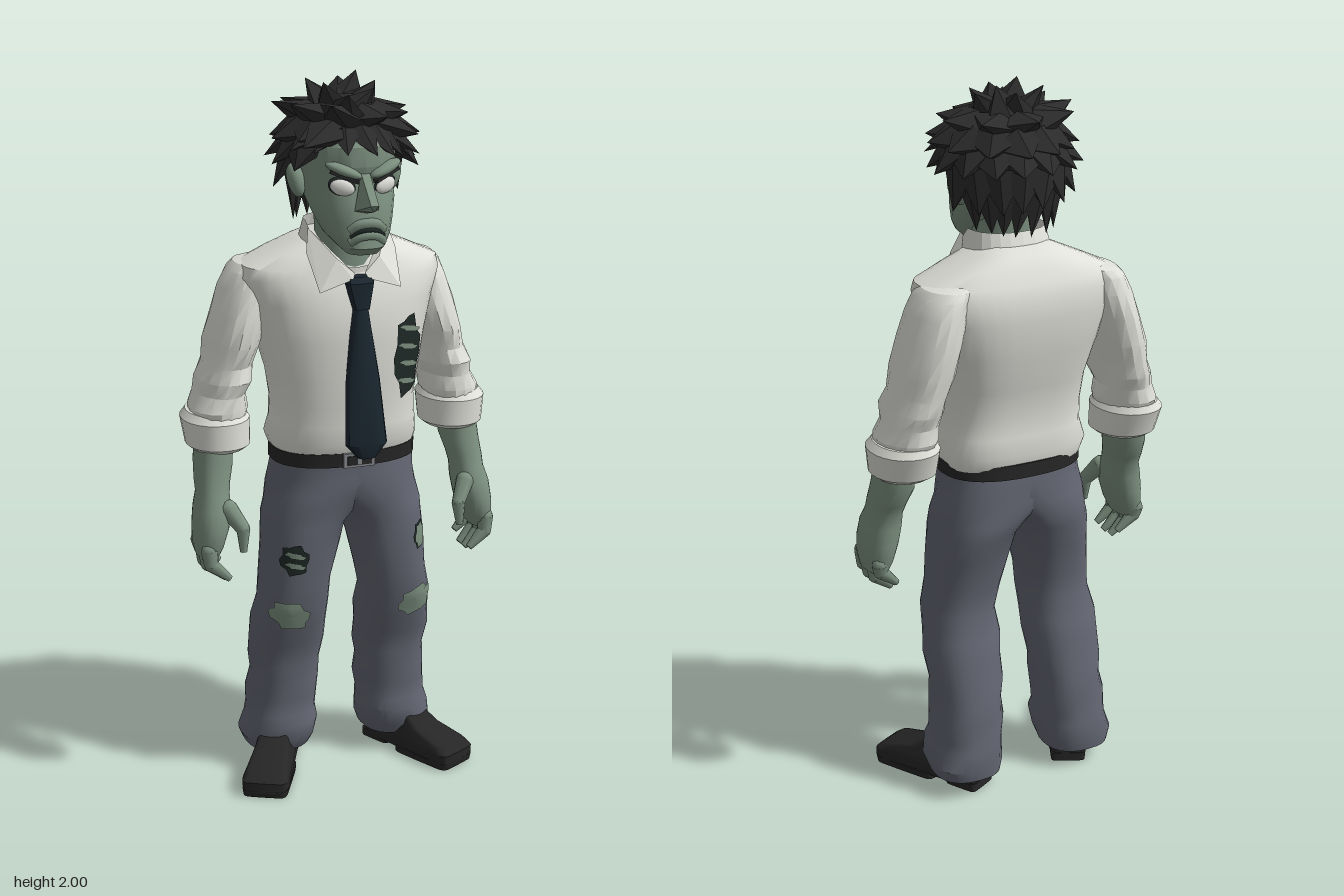
import * as THREE from 'three';
import { toCreasedNormals } from 'three/addons/utils/BufferGeometryUtils.js';
import { ConvexGeometry } from 'three/addons/geometries/ConvexGeometry.js';

const mat = (name, color, side = THREE.FrontSide) => {
  const m = new THREE.MeshStandardMaterial({ color, side });
  m.name = name;
  return m;
};
const skin = mat('green skin', 0x7c907f);
const shirt = mat('off-white shirt', 0xe0e0da, THREE.DoubleSide);
const denim = mat('grey blue trousers', 0x636672);
const hairMat = mat('black hair', 0x2b2b2b);
const leather = mat('black leather', 0x262626);
const tieMat = mat('navy tie', 0x1a262f);
const eyeMat = mat('eye white', 0xdededa);
const dark = mat('dark tear', 0x1f2a27);
const metal = mat('buckle metal', 0x85868a);

const V = (x, y, z) => new THREE.Vector3(x, y, z);

// Skin over level rings [y, xMin, xMax, zBack, zFront], listed upwards
function loft(rings, { pow = 2.4, powBack = pow, n = 24, wrinkle = 0, caps = true, crease = 0.7 } = {}) {
  const pos = [], idx = [];
  for (const [y, x0, x1, z0, z1] of rings) {
    for (let j = 0; j < n; j++) {
      const a = (j / n) * Math.PI * 2;
      const bend = v => Math.sign(v) * Math.abs(v) ** (2 / (j > n / 2 ? powBack : pow));
      const k = 0.5 * (1 + wrinkle * Math.sin(3 * a + y * 47));
      pos.push((x0 + x1) / 2 + (x1 - x0) * k * bend(Math.cos(a)), y, (z0 + z1) / 2 + (z1 - z0) * k * bend(Math.sin(a)));
    }
  }
  for (let i = 0; i < rings.length - 1; i++) for (let j = 0; j < n; j++) {
    const a = i * n + j, b = i * n + (j + 1) % n;
    idx.push(a, a + n, b, b, a + n, b + n);
  }
  if (caps) [0, rings.length - 1].forEach((r, top) => {
    const [y, x0, x1, z0, z1] = rings[r], c = pos.length / 3;
    pos.push((x0 + x1) / 2, y, (z0 + z1) / 2);
    for (let j = 0; j < n; j++) {
      const a = r * n + j, b = r * n + (j + 1) % n;
      top ? idx.push(c, b, a) : idx.push(c, a, b);
    }
  });
  const g = new THREE.BufferGeometry();
  g.setAttribute('position', new THREE.Float32BufferAttribute(pos, 3));
  g.setIndex(idx);
  return toCreasedNormals(g, crease);
}
const flip = (rings, s) => s > 0 ? rings : rings.map(([y, a, b, ...z]) => [y, -b, -a, ...z]);
const wide = rings => rings.map(([y, w, ...z]) => [y, -w, w, ...z]);

// Front depth of a loft at (x, y)
function frontZ(rings, x, y, pow = 2.4) {
  let i = 0;
  while (i < rings.length - 2 && rings[i + 1][0] < y) i++;
  const t = (y - rings[i][0]) / (rings[i + 1][0] - rings[i][0]);
  const [, x0, x1, z0, z1] = rings[i].map((v, k) => v + (rings[i + 1][k] - v) * t);
  const u = Math.min(0.98, Math.abs(x - (x0 + x1) / 2) / ((x1 - x0) / 2));
  return (z0 + z1) / 2 + (z1 - z0) / 2 * (1 - u ** pow) ** (1 / pow);
}

// Jagged thin patch hugging the front of a loft
function patch(rings, cx, cy, rx, ry, lift, slant = 0) {
  const g = new THREE.RingGeometry(0.01, 1, 16, 3), p = g.attributes.position;
  for (let i = 0; i < p.count; i++) {
    const k = 1 + 0.13 * Math.sin((i % 17 % 16) * 2.4);
    const x = cx + p.getX(i) * rx * k, y = cy + p.getY(i) * ry * k + slant * p.getX(i) * rx;
    p.setXYZ(i, x, y, frontZ(rings, x, y) + lift);
  }
  g.computeVertexNormals();
  return g;
}

const TORSO = wide([[0.97, 0.2, -0.17, 0.105], [1.01, 0.212, -0.182, 0.122], [1.06, 0.203, -0.172, 0.122],
  [1.12, 0.2, -0.17, 0.125], [1.2, 0.212, -0.185, 0.13], [1.3, 0.235, -0.212, 0.133], [1.4, 0.262, -0.226, 0.124],
  [1.465, 0.284, -0.22, 0.1], [1.495, 0.278, -0.207, 0.085], [1.53, 0.2, -0.19, 0.07], [1.56, 0.13, -0.165, 0.045],
  [1.58, 0.085, -0.13, 0.0]]);
// Each leg widens into the full hips at its top
const LEG = [[0.055, 0.085, 0.275, -0.204, 0.0], [0.09, 0.074, 0.288, -0.21, 0.022], [0.14, 0.07, 0.276, -0.203, 0.03],
  [0.17, 0.074, 0.268, -0.2, 0.02], [0.22, 0.066, 0.268, -0.196, 0.016], [0.28, 0.068, 0.258, -0.19, 0.03],
  [0.33, 0.06, 0.262, -0.178, 0.022], [0.4, 0.056, 0.266, -0.166, 0.046], [0.46, 0.052, 0.262, -0.152, 0.064],
  [0.53, 0.055, 0.252, -0.13, 0.085], [0.6, 0.045, 0.242, -0.136, 0.09], [0.7, 0.02, 0.234, -0.156, 0.098],
  [0.77, 0.0, 0.228, -0.174, 0.1], [0.81, -0.04, 0.222, -0.179, 0.102], [0.86, -0.11, 0.213, -0.18, 0.104],
  [0.91, -0.18, 0.205, -0.177, 0.105], [0.965, -0.2, 0.2, -0.172, 0.105]];
const SLEEVE = [[1.05, 0.275, 0.42, -0.178, 0.01], [1.1, 0.262, 0.424, -0.2, 0.018], [1.14, 0.264, 0.405, -0.198, 0.008],
  [1.18, 0.248, 0.4, -0.212, 0.022], [1.22, 0.246, 0.38, -0.212, 0.012], [1.28, 0.222, 0.37, -0.226, 0.026],
  [1.36, 0.2, 0.346, -0.222, 0.02], [1.43, 0.18, 0.324, -0.214, 0.008], [1.475, 0.17, 0.304, -0.202, -0.008],
  [1.495, 0.16, 0.284, -0.19, -0.02], [1.51, 0.15, 0.22, -0.16, -0.05]];
const CUFF = [[0.985, 0.275, 0.42, -0.16, 0.008], [0.998, 0.258, 0.436, -0.18, 0.024], [1.07, 0.256, 0.446, -0.206, 0.024],
  [1.09, 0.27, 0.43, -0.196, 0.008]];
const FOREARM = [[0.695, 0.38, 0.432, -0.07, 0.055], [0.73, 0.362, 0.44, -0.082, 0.068], [0.78, 0.345, 0.44, -0.086, 0.07],
  [0.83, 0.335, 0.435, -0.086, 0.058], [0.87, 0.335, 0.424, -0.09, 0.038], [0.9, 0.33, 0.424, -0.105, 0.028],
  [0.95, 0.316, 0.42, -0.13, 0.014], [1.03, 0.31, 0.412, -0.135, 0.0]];

export function createModel() {
  const model = new THREE.Group();
  model.name = 'undead office worker';
  const add = (name, geo, material, parent = model) => {
    const m = new THREE.Mesh(geo, material);
    m.name = name;
    parent.add(m);
    return m;
  };

  // Tapered rod with a ball at its start
  const rod = (name, p, q, r0, r1, material) => {
    const d = q.clone().sub(p);
    const m = add(name, new THREE.CylinderGeometry(r1, r0, d.length(), 8), material);
    m.position.copy(p).addScaledVector(d, 0.5);
    m.quaternion.setFromUnitVectors(V(0, 1, 0), d.normalize());
    add(name + 'Joint', new THREE.SphereGeometry(r0, 8, 6), material).position.copy(p);
  };

  // Shirt, collar and belt
  add('shirtBody', loft(TORSO, { n: 36, powBack: 3, wrinkle: 0.01 }), shirt);
  const collar = loft(wide([[1.49, 0.125, -0.16, 0.1], [1.56, 0.118, -0.135, 0.09], [1.615, 0.108, -0.112, 0.09]]), { caps: false });
  const cp = collar.attributes.position;
  for (let i = 0; i < cp.count; i++) cp.setY(i, cp.getY(i) - Math.max(0, cp.getZ(i)) * 1.3);
  collar.computeVertexNormals();
  add('collarBand', collar, shirt);
  add('belt', loft(wide([[0.945, 0.206, -0.182, 0.112], [0.985, 0.206, -0.18, 0.114]]), { n: 36 }), leather);
  add('buckle', new THREE.BoxGeometry(0.09, 0.04, 0.012), metal).position.set(0, 0.965, 0.115);
  add('buckleCentre', new THREE.BoxGeometry(0.07, 0.026, 0.006), leather).position.set(0, 0.965, 0.121);
  add('bucklePin', new THREE.BoxGeometry(0.012, 0.026, 0.006), metal).position.set(0, 0.965, 0.123);

  // Tie
  add('tieKnot', loft(wide([[1.395, 0.024, 0.11, 0.15], [1.465, 0.042, 0.09, 0.145], [1.48, 0.036, 0.09, 0.13]]), { n: 8, pow: 3, crease: 0.5 }), tieMat);
  add('tieBlade', loft(wide([[0.99, 0.026, 0.155, 0.192], [1.03, 0.06, 0.148, 0.2], [1.2, 0.049, 0.12, 0.17],
    [1.4, 0.022, 0.1, 0.14]]), { n: 12, pow: 2.2, crease: 0.5 }), tieMat);

  // Torn chest with ribs showing
  add('chestTear', patch(TORSO, 0.145, 1.245, 0.046, 0.116, 0.005), dark);
  for (let i = 0; i < 4; i++)
    add('rib', patch(TORSO, 0.143 + 0.005 * (i % 2), 1.175 + i * 0.05, 0.034, 0.009, 0.011, -0.25), skin);

  for (const s of [1, -1]) {
    // Arms
    add('sleeve', loft(flip(SLEEVE, s), { wrinkle: 0.03, n: 18, pow: 2.1, crease: 0.45 }), shirt);
    add('rolledCuff', loft(flip(CUFF, s), { pow: 2.1, crease: 0.6 }), shirt);
    add('forearmAndHand', loft(flip(FOREARM, s)), skin);
    for (let i = 0; i < 4; i++) {
      const z = 0.05 - i * 0.037, drop = i === 3 ? 0.025 : i === 0 ? 0.01 : 0;
      const a = V(s * 0.412, 0.725, z), b = V(s * 0.408, 0.675 + drop, z + 0.004), c = V(s * 0.358, 0.63 + drop, z + 0.01);
      rod('finger', a, b, 0.024, 0.021, skin);
      rod('fingertip', b, c, 0.021, 0.01, skin);
    }
    rod('thumb', V(s * 0.352, 0.835, 0.035), V(s * 0.32, 0.785, 0.068), 0.027, 0.02, skin);
    rod('thumbTip', V(s * 0.32, 0.785, 0.068), V(s * 0.322, 0.72, 0.075), 0.02, 0.01, skin);

    // Collar wing
    const wing = [[0.014, 1.49, 0.122], [0.06, 1.53, 0.108], [0.112, 1.6, 0.02], [0.127, 1.54, 0.05], [0.115, 1.445, 0.128],
      [0.022, 1.475, 0.13], [0.05, 1.515, 0.098], [0.11, 1.45, 0.11]];
    add('collarWing', new ConvexGeometry(wing.map(([x, y, z]) => V(s * x, y, z))), shirt);

    // Legs and bare knees
    const leg = flip(LEG, s);
    add('trouserLeg', loft(leg, { n: 28, wrinkle: 0.02, crease: 0.55 }), denim);
    add('knee', patch(leg, s * 0.188, 0.51, 0.054, 0.044, 0.009, s * 0.2), skin);

    // Shoes, toes turned out
    const shoe = new THREE.Group();
    shoe.name = 'shoe';
    shoe.position.set(s * 0.22, 0, 0.002);
    shoe.rotation.y = s * 0.47;
    model.add(shoe);
    const upper = loft(wide([[0.014, 0.066, -0.17, 0.176], [0.045, 0.067, -0.17, 0.176], [0.064, 0.06, -0.168, 0.15],
      [0.085, 0.054, -0.16, 0.06], [0.12, 0.045, -0.15, 0.0]]), { pow: 8, crease: 0.5 });
    const sp = upper.attributes.position;
    for (let i = 0; i < sp.count; i++) sp.setX(i, sp.getX(i) * (0.9 + sp.getZ(i) * 0.8));
    add('shoeUpper', upper, leather, shoe);
    add('shoeSole', loft(wide([[0, 0.064, -0.03, 0.172], [0.02, 0.066, -0.03, 0.176]]), { pow: 8 }), leather, shoe);
    add('shoeHeel', loft(wide([[0, 0.05, -0.172, -0.07], [0.025, 0.052, -0.172, -0.065]]), { pow: 8 }), leather, shoe);

    // Eyes, brows and ears
    const face = (name, geo, m, x, y, z, sc, rz) => {
      const e = add(name, geo, m);
      e.position.set(s * x, y, z);
      e.scale.set(...sc);
      e.rotation.set(0, s * 0.35, s * rz);
    };
    const ball = new THREE.SphereGeometry(1, 14, 10);
    face('eyeSocket', ball, dark, 0.06, 1.73, 0.145, [0.037, 0.025, 0.01], 0.25);
    face('eye', ball, eyeMat, 0.06, 1.728, 0.15, [0.033, 0.021, 0.012], 0.25);
    face('brow', new THREE.BoxGeometry(0.08, 0.009, 0.018), hairMat, 0.058, 1.758, 0.162, [1, 1, 1], 0.36);
    face('browRidge', ball, skin, 0.058, 1.773, 0.154, [0.052, 0.015, 0.024], 0.36);
    face('ear', ball, skin, 0.136, 1.73, -0.01, [0.024, 0.052, 0.03], -0.25);
  }

  // Thigh tears
  const rightLeg = flip(LEG, -1);
  add('thighTear', patch(rightLeg, -0.178, 0.68, 0.037, 0.045, 0.006), dark);
  for (const y of [0.665, 0.695]) add('thighSkin', patch(rightLeg, -0.178, y, 0.027, 0.009, 0.011, -0.2), skin);
  add('thighTear', patch(LEG, 0.195, 0.71, 0.022, 0.041, 0.006), dark);
  add('thighSkin', patch(LEG, 0.195, 0.71, 0.018, 0.036, 0.011), skin);

  // Head
  add('neck', loft(wide([[1.46, 0.085, -0.1, 0.085], [1.56, 0.077, -0.09, 0.08], [1.68, 0.08, -0.1, 0.08]])), skin);
  add('head', loft(wide([[1.55, 0.042, 0.085, 0.175], [1.57, 0.062, 0.04, 0.195], [1.6, 0.086, -0.01, 0.186], [1.64, 0.1, -0.07, 0.184],
    [1.69, 0.115, -0.12, 0.17], [1.735, 0.116, -0.15, 0.154], [1.78, 0.121, -0.16, 0.168], [1.83, 0.122, -0.16, 0.16],
    [1.88, 0.105, -0.14, 0.12], [1.91, 0.06, -0.08, 0.06]]), { crease: 0.5 }), skin);
  add('nose', new ConvexGeometry([V(0.012, 1.765, 0.16), V(-0.012, 1.765, 0.16), V(0.014, 1.715, 0.192), V(-0.014, 1.715, 0.192),
    V(0.011, 1.69, 0.235), V(-0.011, 1.69, 0.235), V(0, 1.672, 0.222), V(0.034, 1.668, 0.172), V(-0.034, 1.668, 0.172), V(0, 1.655, 0.15)]), skin);
  const arc = (name, y, z, r, m) => add(name, new THREE.TubeGeometry(new THREE.CatmullRomCurve3(
    [V(-0.046, y - 0.02, z - 0.016), V(-0.025, y - 0.004, z - 0.004), V(0, y, z), V(0.025, y - 0.004, z - 0.004), V(0.046, y - 0.02, z - 0.016)]), 14, r, 7), m);
  arc('upperLip', 1.636, 0.186, 0.014, skin);
  arc('mouth', 1.62, 0.193, 0.006, dark);
  arc('lowerLip', 1.605, 0.187, 0.013, skin);

  // Hair: tilted cap covered by flat spikes
  const centre = V(0, 1.79, -0.015), radii = V(0.155, 0.155, 0.165);
  const cap = add('hairCap', new THREE.SphereGeometry(1, 16, 10, 0, Math.PI * 2, 0, Math.PI * 0.54), hairMat);
  cap.position.copy(centre);
  cap.scale.copy(radii);
  cap.rotation.x = -0.55;
  const spike = (az, el, tip, w) => {
    const n = V(Math.sin(az) * Math.cos(el), Math.sin(el), Math.cos(az) * Math.cos(el));
    const base = n.clone().multiply(radii).multiplyScalar(0.9).add(centre);
    const d = tip.clone().sub(base), len = d.length();
    d.normalize();
    const x = d.clone().cross(n).normalize();
    const g = new THREE.ConeGeometry(1, 1, 5).toNonIndexed();
    g.computeVertexNormals();
    g.scale(w, len, w * 0.5).applyMatrix4(new THREE.Matrix4().makeBasis(x, d, x.clone().cross(d)));
    g.translate(...base.add(tip).multiplyScalar(0.5).toArray());
    add('hairSpike', g, hairMat);
  };
  // Rows: count, azimuth from, azimuth to, base elevation, tip radius, tip height, width
  const rows = [[5, 0.5, 5.5, 1.2, 0.1, 1.97, 0.07], [9, 0.3, 5.9, 0.85, 0.19, 1.925, 0.08], [10, 0.95, 5.33, 0.55, 0.21, 1.85, 0.085],
    [7, -0.95, 0.95, 0.6, 0.197, 1.8, 0.052], [10, 1.1, 5.18, 0.25, 0.205, 1.765, 0.075], [8, 1.75, 4.53, 0, 0.187, 1.695, 0.07],
    [8, 2.0, 4.28, -0.3, 0.142, 1.625, 0.055]];
  rows.forEach(([n, a0, a1, el, r, y, w], k) => {
    for (let i = 0; i < n; i++) {
      const az = a0 + (a1 - a0) * i / (n - 1), j = Math.sin(i * 12.9 + k * 4.7);
      const rr = r * (1 + 0.06 * j), lean = az + 0.12 * Math.cos(i * 7.3 + k);
      spike(az, el, V(Math.sin(lean) * rr, y + 0.02 * j, Math.cos(lean) * rr - 0.012), w);
    }
  });
  spike(-0.6, 0.6, V(-0.175, 1.84, 0.175), 0.07);
  spike(0.9, 0.5, V(0.165, 1.8, 0.125), 0.06);
  spike(-0.2, 0.9, V(-0.04, 1.965, 0.14), 0.07);
  spike(2.6, 1.1, V(0.06, 2.0, -0.08), 0.07);
  return model;
}
